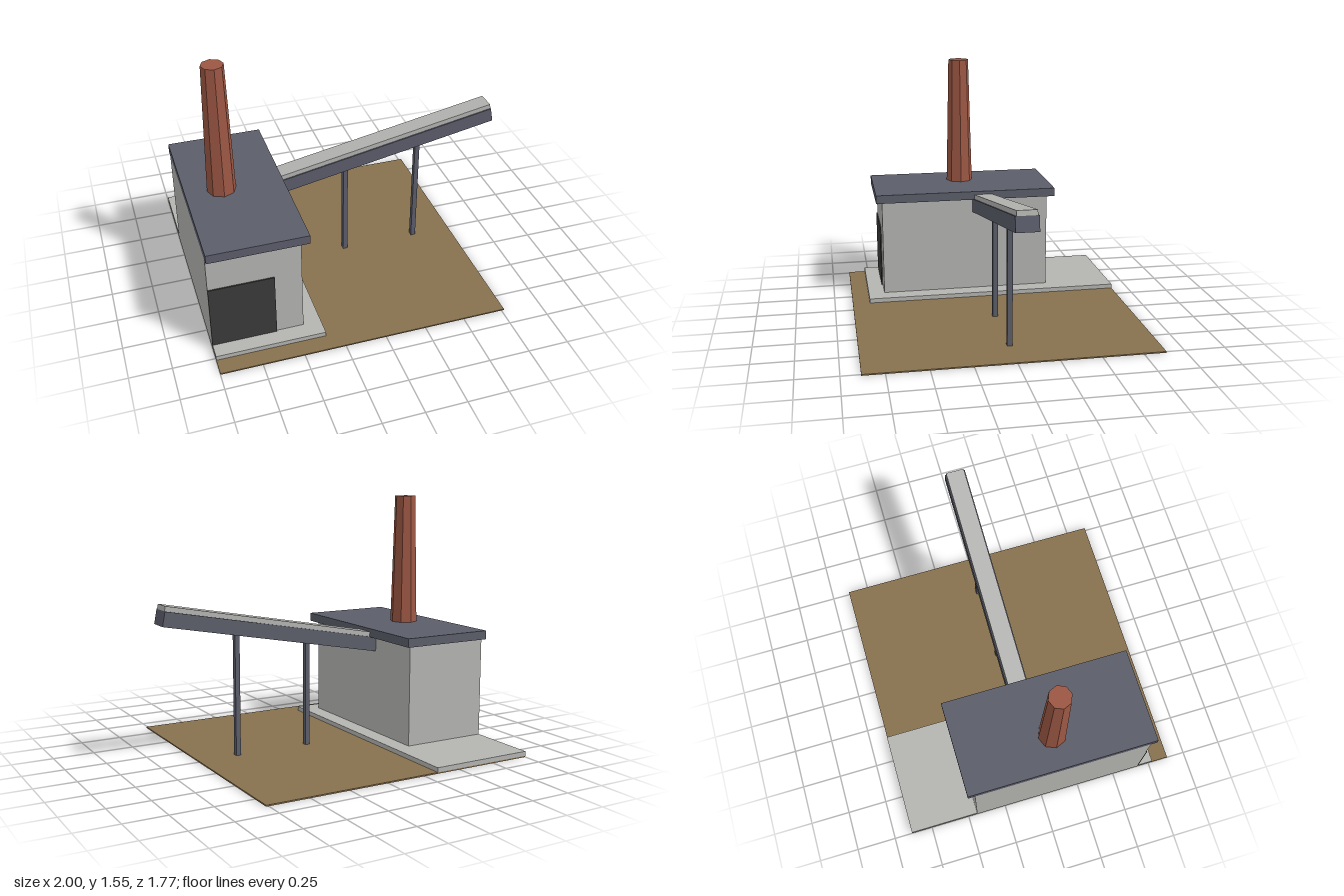
import * as THREE from 'three';

function mat(name, color) {
  const m = new THREE.MeshStandardMaterial({ color });
  m.name = name;
  return m;
}

export function createModel() {
  const concrete = mat('concrete', 0xb4b4b1);
  const steel = mat('blue grey steel', 0x5b5d6a);
  const earth = mat('earth', 0x87704e);
  const brick = mat('brick', 0x9c5743);
  const charcoal = mat('charcoal', 0x3a3a3a);
  const model = new THREE.Group();
  model.name = 'furnaceHouse';

  // Box given by its min and max on each axis
  function box(name, material, [x0, x1], [y0, y1], [z0, z1], parent = model) {
    const mesh = new THREE.Mesh(new THREE.BoxGeometry(x1 - x0, y1 - y0, z1 - z0), material);
    mesh.position.set((x0 + x1) / 2, (y0 + y1) / 2, (z0 + z1) / 2);
    mesh.name = name;
    parent.add(mesh);
    return mesh;
  }

  // Ground and building
  box('ground', earth, [-1, 0.766], [0, 0.008], [-0.884, 0.884]);
  box('foundation', concrete, [-1, -0.34], [0.008, 0.036], [-0.884, 0.773]);
  box('walls', concrete, [-1, -0.448], [0.036, 0.665], [-0.442, 0.668]);
  box('roof', steel, [-1, -0.405], [0.665, 0.72], [-0.486, 0.708]);
  box('door', charcoal, [-1, -0.612], [0.036, 0.445], [0.668, 0.676]);

  // Tapered octagonal chimney
  const chimneyGeometry = new THREE.CylinderGeometry(0.067, 0.088, 0.832, 8).toNonIndexed();
  chimneyGeometry.computeVertexNormals();
  const chimney = new THREE.Mesh(chimneyGeometry, brick);
  chimney.position.set(-0.78, 1.136, 0.106);
  chimney.name = 'chimney';
  model.add(chimney);

  // Sloping conveyor, pivoting on the lower far corner of its beam
  const conveyor = new THREE.Group();
  conveyor.name = 'conveyor';
  conveyor.position.set(0.998, 0.846, 0);
  conveyor.rotation.z = 0.189;
  box('beam', steel, [-1.468, 0], [0, 0.089], [-0.066, 0.066], conveyor);
  box('belt', concrete, [-1.468, 0], [0.089, 0.119], [-0.058, 0.058], conveyor);
  model.add(conveyor);

  // Conveyor supports
  for (const [x, top] of [[0.028, 0.664], [0.509, 0.756]]) {
    box('support', steel, [x - 0.015, x + 0.015], [0.008, top], [-0.016, 0.016]);
  }
  return model;
}
